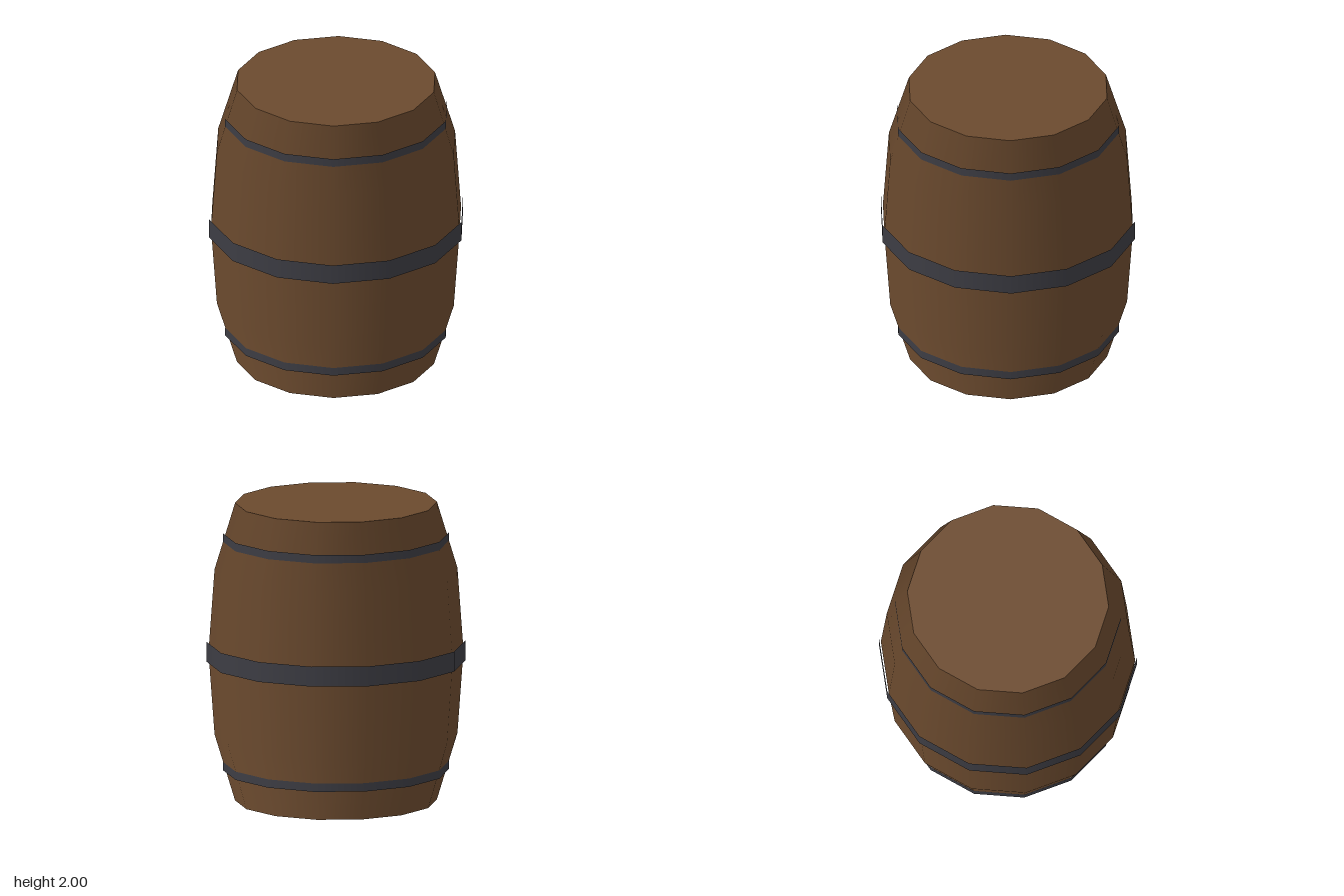
import * as THREE from 'three';

const SIDES = 14;
// Barrel profile from bottom to top: [height, radius]
const PROFILE = [[0, 0.665], [0.445, 0.8], [1, 0.84], [1.555, 0.8], [2, 0.665]];
// Iron hoops: [name, centre height, radius, width]
const HOOPS = [
  ['lowerHoop', 0.232, 0.745, 0.056],
  ['middleHoop', 1, 0.852, 0.134],
  ['upperHoop', 1.768, 0.745, 0.056],
];

export function createModel() {
  const wood = new THREE.MeshStandardMaterial({ color: 0x6b4a2e });
  wood.name = 'brown wood';
  const iron = new THREE.MeshStandardMaterial({ color: 0x3d3d44 });
  iron.name = 'dark iron';

  const barrel = new THREE.Group();
  barrel.name = 'barrel';

  // Body: a capped unit cylinder bulged ring by ring; its straight side normals are kept
  const body = new THREE.CylinderGeometry(1, 1, 4, SIDES, 4, false, Math.PI / 2);
  const p = body.attributes.position;
  for (let i = 0; i < p.count; i++) {
    const [y, r] = PROFILE[Math.round(p.getY(i) + 2)];
    p.setXYZ(i, p.getX(i) * r, y, p.getZ(i) * r);
  }
  const bodyMesh = new THREE.Mesh(body, wood);
  bodyMesh.name = 'body';
  barrel.add(bodyMesh);

  // Hoops: open bands just outside the staves
  for (const [name, y, r, width] of HOOPS) {
    const band = new THREE.CylinderGeometry(r, r, width, SIDES, 1, true, Math.PI / 2);
    const hoop = new THREE.Mesh(band, iron);
    hoop.name = name;
    hoop.position.y = y;
    barrel.add(hoop);
  }
  return barrel;
}
